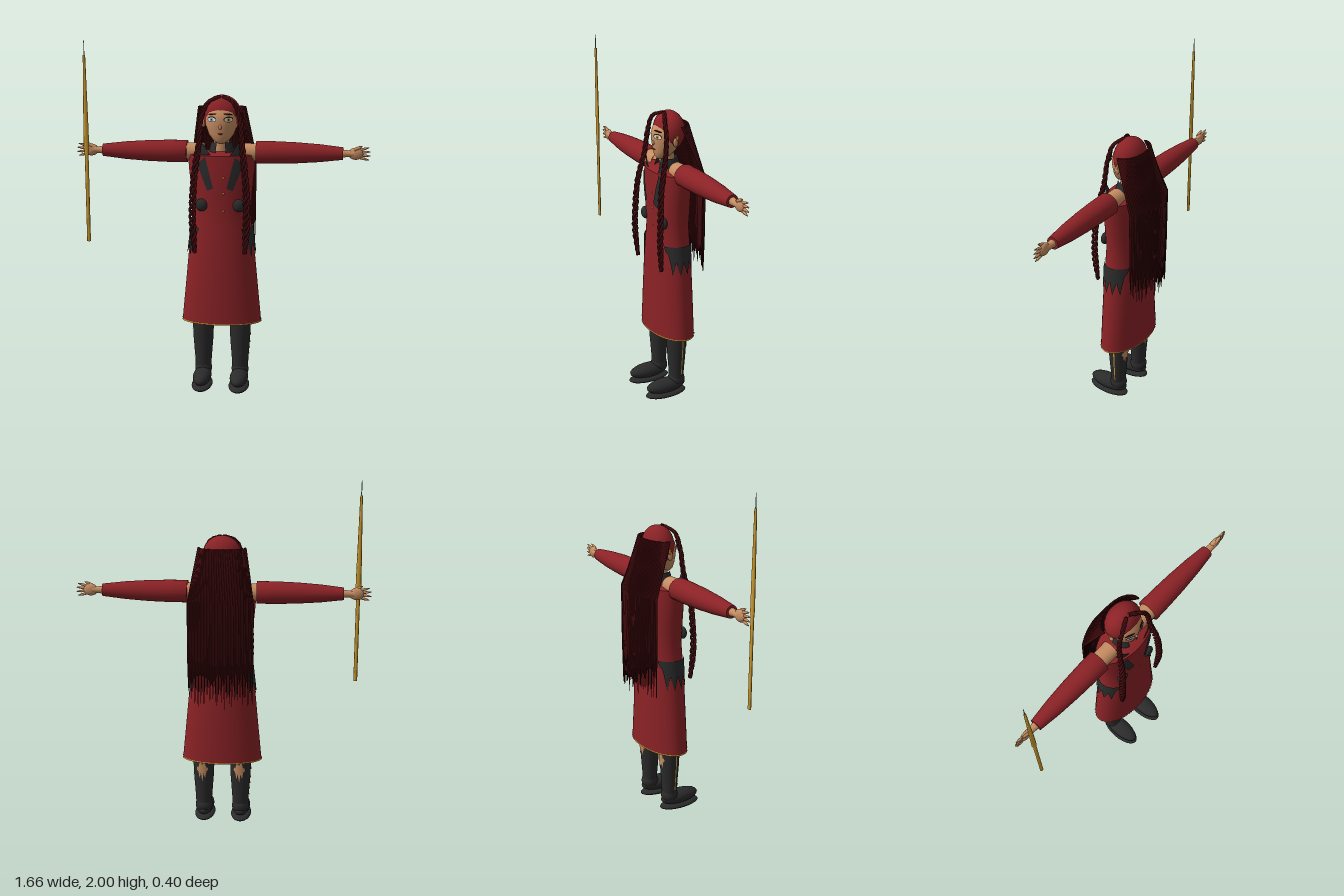
import * as THREE from 'three';

const mat = (name, color) => {
  const m = new THREE.MeshStandardMaterial({ color, side: THREE.DoubleSide });
  m.name = name;
  return m;
};

// Cross-section rings: [y, rx, rz, zCentre, xCentre]
function at(sections, y) {
  let i = 0;
  while (i < sections.length - 2 && sections[i + 1][0] < y) i++;
  const a = sections[i], b = sections[i + 1];
  const t = b[0] === a[0] ? 0 : (y - a[0]) / (b[0] - a[0]);
  return [1, 2, 3, 4].map(k => (a[k] || 0) + ((b[k] || 0) - (a[k] || 0)) * t);
}

function grid(rows, cols, fn, closed) {
  const pos = [], idx = [], w = closed ? cols : cols + 1;
  for (let i = 0; i <= rows; i++) for (let j = 0; j < w; j++) pos.push(...fn(i, j));
  for (let i = 0; i < rows; i++) for (let j = 0; j < cols; j++) {
    const k = (j + 1) % w, a = i * w + j, b = i * w + k, c = a + w, d = b + w;
    idx.push(a, c, b, b, c, d);
  }
  const g = new THREE.BufferGeometry();
  g.setAttribute('position', new THREE.Float32BufferAttribute(pos, 3));
  g.setIndex(idx);
  g.computeVertexNormals();
  return g;
}

const loft = (s, sides = 32) => grid(s.length - 1, sides, (i, j) => {
  const [y, rx, rz, zc = 0, xc = 0] = s[i], a = j / sides * Math.PI * 2;
  return [xc + rx * Math.cos(a), y, zc + rz * Math.sin(a)];
}, true);

// Thin cladding that follows a lofted surface between two heights
const clad = (s, a0, a1, bottom, top, off = 0.004, n = 24) => grid(6, n, (i, j) => {
  const u = j / n, a = a0 + (a1 - a0) * u, lo = bottom(u), y = lo + (top(u) - lo) * i / 6;
  const [rx, rz, zc, xc] = at(s, y);
  return [xc + (rx + off) * Math.cos(a), y, zc + (rz + off) * Math.sin(a)];
});

export function createModel() {
  const root = new THREE.Group();
  root.name = 'robedFigure';
  const red = mat('coatRed', 0x8b2226), dark = mat('charcoal', 0x2b2b2c), skin = mat('skin', 0xc68d62);
  const hair = mat('darkRedHair', 0x400a0d), gold = mat('gold', 0xcf9c30), white = mat('eyeWhite', 0xf0f0ee);
  const blue = mat('irisBlue', 0x7fa3bf), steel = mat('steel', 0x9a9a9e);
  const add = (name, geo, m, p = [0, 0, 0], parent = root) => {
    const mesh = new THREE.Mesh(geo, m);
    mesh.name = name;
    mesh.position.set(...p);
    parent.add(mesh);
    return mesh;
  };
  const ball = (name, m, p, r, parent = root) => {
    const mesh = add(name, new THREE.SphereGeometry(1, 24, 16), m, p, parent);
    mesh.scale.set(...r);
    return mesh;
  };

  // Coat: long flared skirt and fitted torso with a flat shoulder line
  const coat = [[0.395, 0.23, 0.122], [0.6, 0.21, 0.12], [0.8, 0.191, 0.116], [0.96, 0.172, 0.108], [1.05, 0.163, 0.103],
    [1.15, 0.172, 0.107], [1.27, 0.185, 0.109], [1.37, 0.193, 0.104]];
  add('coat', loft([...coat, [1.37, 0.193, 0.104], [1.385, 0.12, 0.07], [1.39, 0.03, 0.03]], 48), red);
  add('hemTrim', clad(coat, 0, Math.PI * 2, () => 0.395, () => 0.402, 0.003, 48), gold);
  const coatZ = (x, y) => {
    const [rx, rz] = at(coat, y);
    return rz * Math.sqrt(Math.max(0, 1 - (x / rx) ** 2));
  };
  const plate = (c, off) => grid(6, 6, (i, j) => {
    const u = j / 6, v = i / 6, mix = k => (c[0][k] * (1 - u) + c[1][k] * u) * (1 - v) + (c[3][k] * (1 - u) + c[2][k] * u) * v;
    return [mix(0), mix(1), coatZ(mix(0), Math.min(mix(1), 1.37)) + off];
  });
  for (const y of [1.25, 1.16, 1.06]) ball('button', gold, [0.02, y, coatZ(0.02, y)], [0.006, 0.006, 0.004]);

  // Neck and stand collar, open at the front
  add('neck', loft([[1.35, 0.045, 0.045], [1.47, 0.042, 0.042, 0.005]], 20), skin);
  add('standCollar', new THREE.CylinderGeometry(0.058, 0.078, 0.07, 24, 1, true, 0.4, Math.PI * 2 - 0.8), dark, [0, 1.405, 0]);

  // Legs are measured around their own centre line
  const leg = [[0.07, 0.046, 0.042], [0.15, 0.048, 0.044], [0.28, 0.058, 0.054], [0.42, 0.064, 0.062]];
  const jag = (u, n) => Math.abs(((u * n) % 1) * 2 - 1);

  for (const s of [1, -1]) {
    const side = s > 0 ? 'left' : 'right', mid = s > 0 ? 0 : Math.PI;
    // Coat details
    add(side + 'Lapel', plate([[s * 0.083, 1.365], [s * 0.13, 1.325], [s * 0.072, 1.175], [s * 0.038, 1.19]], 0.006), dark);
    add(side + 'CollarWing', plate([[s * 0.1, 1.44], [s * 0.135, 1.435], [s * 0.105, 1.36], [s * 0.055, 1.375]], -0.01), dark);
    ball(side + 'WaistDisc', dark, [s * 0.105, 1.09, 0.086], [0.035, 0.036, 0.022]);
    add(side + 'HipPatch', clad(coat, mid - 0.85, mid + 0.85,
      u => 0.955 - Math.min(1, Math.min(u, 1 - u) * 5) * (0.085 + 0.08 * jag(u, 5)), () => 0.957, 0.008, 40), dark);

    // Leg, torn patch, side stripe and shoe
    const lower = new THREE.Group();
    lower.name = side + 'Leg';
    lower.position.x = s * 0.108;
    root.add(lower);
    add('trouser', loft(leg, 28), dark, [0, 0, 0], lower);
    add('tornPatch', clad(leg, -2.05, -0.95, u => 0.335 - 0.055 * Math.sin(u * Math.PI) * (0.4 + jag(u, 4)),
      u => 0.338 + 0.045 * Math.sin(u * Math.PI) * (0.5 + jag(u, 3)), 0.003), skin, [0, 0, 0], lower);
    add('sideStripe', clad(leg, mid - 0.15 - 0.06, mid - 0.15 + 0.06, () => 0.14, () => 0.41, 0.003, 3), gold, [0, 0, 0], lower);
    ball('ankle', dark, [0, 0.095, 0], [0.05, 0.05, 0.05], lower);
    ball('shoe', dark, [0, 0.068, 0.07], [0.053, 0.043, 0.124], lower);
    ball('sole', dark, [0, 0.02, 0.07], [0.06, 0.02, 0.13], lower);

    // Arm and hand, built toward +x and turned for the other side
    const arm = new THREE.Group();
    arm.name = side + 'Arm';
    arm.position.y = 1.382;
    arm.rotation.y = s > 0 ? 0 : Math.PI;
    root.add(arm);
    const along = (list, n) => loft(list.map(([x, r, q = r]) => [x, r, q]), n).rotateZ(-Math.PI / 2);
    add('upperArm', along([[0.1, 0.05], [0.25, 0.05]], 20), skin, [0, 0, 0], arm);
    add('sleeve', along([[0.195, 0.04], [0.195, 0.063, 0.066], [0.3, 0.063, 0.064], [0.42, 0.059], [0.55, 0.05], [0.68, 0.035],
      [0.68, 0.035], [0.68, 0.001]], 28), red, [0, 0, 0], arm);
    add('wrist', along([[0.66, 0.024], [0.71, 0.019], [0.74, 0.02]], 16), skin, [0, 0, 0], arm);
    ball('palm', skin, [0.75, 0, 0], [0.042, 0.034, 0.018], arm);
    for (let f = 0; f < 4; f++) {
      const a = (f - 1.5) * 0.17, len = f === 0 || f === 3 ? 0.055 : 0.062;
      const finger = add('finger', along([[0, 0.008], [len * 0.6, 0.007], [len, 0.002]], 8), skin, [0.77, (f - 1.5) * 0.014, 0], arm);
      finger.rotation.z = a;
    }
    const thumb = add('thumb', along([[0, 0.01], [0.03, 0.009], [0.05, 0.002]], 8), skin, [0.74, 0.022, s * 0.008], arm);
    thumb.rotation.z = 0.45;

    // Eye, brow, ear and earring
    const eye = new THREE.Group();
    eye.name = side + 'Eye';
    eye.position.set(s * 0.045, 1.572, 0.084);
    eye.rotation.y = s * 0.44;
    root.add(eye);
    const disc = (name, m, rx, ry, y, z) => add(name, new THREE.CircleGeometry(1, 24), m, [0, y, z], eye).scale.set(rx, ry, 1);
    disc('lashLine', dark, 0.028, 0.016, 0.002, 0.002);
    disc('eyeWhite', white, 0.025, 0.012, 0, 0.0035);
    disc('iris', s > 0 ? gold : blue, 0.011, 0.011, 0, 0.005);
    disc('pupil', dark, 0.005, 0.005, 0, 0.0065);
    const brow = ball('brow', hair, [0, 0.031, -0.002], [0.027, 0.004, 0.004], eye);
    brow.rotation.z = -s * 0.12;
    ball(side + 'Ear', skin, [s * 0.103, 1.545, 0.005], [0.01, 0.026, 0.015]);
    ball(side + 'Earring', gold, [s * 0.11, 1.57, -0.002], [0.005, 0.016, 0.006]);

    // Long front braid of three twisted strands
    const path = new THREE.CatmullRomCurve3([[0.01, 1.695, 0.025], [0.07, 1.665, 0.055], [0.108, 1.58, 0.066], [0.12, 1.45, 0.08],
      [0.138, 1.3, 0.113], [0.15, 1.15, 0.125], [0.152, 1, 0.13], [0.142, 0.82, 0.118]].map(p => new THREE.Vector3(s * p[0], p[1], p[2])));
    for (let k = 0; k < 3; k++) {
      const pts = [];
      for (let i = 0; i <= 80; i++) {
        const t = i / 80, a = t * 50 + k * Math.PI * 2 / 3, r = 0.005 + 0.009 * Math.min(1, t * 1.6) * Math.min(1, (1 - t) * 8);
        pts.push(path.getPointAt(t).add(new THREE.Vector3(Math.cos(a) * r, 0, Math.sin(a) * r * 0.7)));
      }
      add(side + 'BraidStrand', new THREE.TubeGeometry(new THREE.CatmullRomCurve3(pts), 160, 0.008, 6), hair);
    }
  }

  // Head: face with a tapered jaw, under a smooth red cap
  add('face', loft([[1.435, 0.004, 0.004, 0.045], [1.438, 0.022, 0.022, 0.043], [1.455, 0.047, 0.045, 0.032], [1.485, 0.07, 0.063, 0.02],
    [1.53, 0.087, 0.077, 0.011], [1.575, 0.093, 0.083, 0.008], [1.61, 0.088, 0.074, 0.005], [1.65, 0.06, 0.05], [1.67, 0.01, 0.01]], 36), skin);
  ball('cap', red, [0, 1.59, -0.01], [0.11, 0.112, 0.084]);
  ball('nose', skin, [0, 1.53, 0.088], [0.009, 0.013, 0.01]);
  ball('mouth', red, [0, 1.492, 0.083], [0.016, 0.0035, 0.004]);

  // Back hair: a curved curtain of tapering strands with ragged ends
  let seed = 7;
  const rand = () => (seed = (seed * 16807) % 2147483647) / 2147483647;
  const count = 42;
  for (let i = 0; i < count; i++) {
    const t = i / (count - 1) * 2 - 1, a = t * Math.PI / 2, end = 0.74 + rand() * 0.1;
    const tx = 0.13 * Math.sin(a), tz = -0.02 - 0.08 * Math.cos(a);
    const bx = 0.18 * t, bz = -0.135 - 0.057 * (1 - t * t);
    const mx = (tx + bx) / 2, mz = (tz + bz) / 2;
    add('hairStrand', loft([[end, 0.001, 0.001, bz, bx], [0.92, 0.0035, 0.004, bz, bx], [1.02, 0.006, 0.006, bz, bx],
      [1.34, 0.0065, 0.007, bz, bx], [1.49, 0.0065, 0.008, mz, mx], [1.635, 0.0065, 0.008, tz, tx], [1.636, 0.0005, 0.0005, tz, tx]], 6), hair);
  }

  // Staff held at the right hand
  add('staff', loft([[0.86, 0.001, 0.001], [0.86, 0.011, 0.008], [1.36, 0.011, 0.008], [1.4, 0.016, 0.009], [1.55, 0.014, 0.009],
    [1.75, 0.01, 0.008], [1.92, 0.007, 0.007], [1.92, 0.001, 0.001]], 8), gold, [-0.762, 0, 0.068]);
  add('staffSpike', new THREE.CylinderGeometry(0.0015, 0.003, 0.08, 8), steel, [-0.762, 1.96, 0.068]);

  return root;
}
